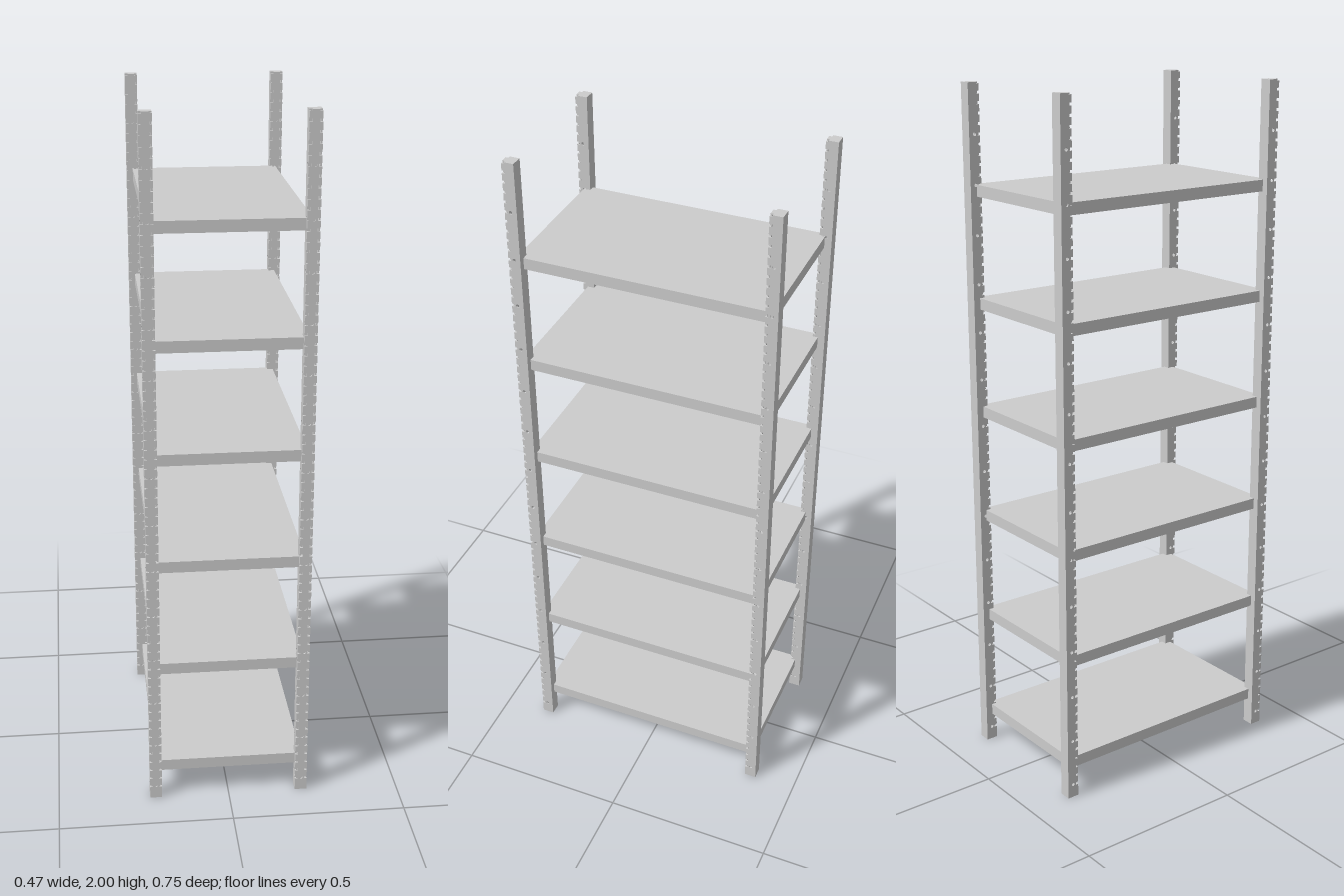
import * as THREE from 'three';

const W = 0.035, H = 2, T = 0.004;        // post width, height, wall thickness
const NOTCH = 0.008, SLOT = 0.008, PITCH = 0.028;
const material = new THREE.MeshStandardMaterial({ color: 0xcccccc, flatShading: true });

// Slot steps up one edge of a post wall, as [inset, y] pairs
function slottedEdge() {
  const pts = [[0, 0]];
  for (let k = 70; k >= 0; k--) {
    const y = H - k * PITCH;
    const top = Math.min(y + SLOT / 2, H);
    pts.push([0, y - SLOT / 2], [NOTCH, y - SLOT / 2], [NOTCH, top]);
    if (k > 0) pts.push([0, top]);
  }
  return pts;
}

// Flat post wall with round holes and a slotted right edge (and left edge if asked)
function wallGeometry(width, bothEdges) {
  const edge = slottedEdge();
  const right = edge.map(([d, y]) => new THREE.Vector2(width / 2 - d, y));
  const left = bothEdges
    ? edge.map(([d, y]) => new THREE.Vector2(d - width / 2, y)).reverse()
    : [new THREE.Vector2(-width / 2, H), new THREE.Vector2(-width / 2, 0)];
  const shape = new THREE.Shape([...right, ...left]);
  for (let y = 0.04; y < 1.9; y += 0.14) {
    const hole = new THREE.Path();
    hole.absarc(0, y, 0.005, 0, Math.PI * 2, true);
    shape.holes.push(hole);
  }
  return new THREE.ExtrudeGeometry(shape, { depth: T, bevelEnabled: false, curveSegments: 6 });
}

// Cap plate with its two front corners cut away
function capGeometry() {
  const h = W / 2, n = h - NOTCH;
  const shape = new THREE.Shape([[-h, h], [-h, -n], [-n, -n], [-n, -h], [n, -h], [n, -n], [h, -n], [h, h]]
    .map(([x, y]) => new THREE.Vector2(x, y)));
  const geometry = new THREE.ExtrudeGeometry(shape, { depth: SLOT / 2, bevelEnabled: false });
  return geometry.rotateX(-Math.PI / 2);
}

export function createModel() {
  const model = new THREE.Group();
  model.name = 'shelvingRack';
  const add = (parent, geometry, name, x, y, z) => {
    const mesh = new THREE.Mesh(geometry, material);
    mesh.name = name;
    mesh.position.set(x, y, z);
    parent.add(mesh);
    return mesh;
  };

  const frontWall = wallGeometry(W, true);
  const sideWall = wallGeometry(W, false).rotateY(-Math.PI / 2);
  const backWall = new THREE.BoxGeometry(W - 2 * T, H, T);
  const cap = capGeometry();

  // Four hollow slotted posts, all with the slotted face to the front
  for (const x of [-0.215, 0.215]) {
    for (const z of [-0.358, 0.357]) {
      const post = new THREE.Group();
      post.name = (z > 0 ? 'front' : 'back') + (x > 0 ? 'Left' : 'Right') + 'Post';
      post.position.set(x, 0, z);
      add(post, frontWall, 'slottedFrontWall', 0, 0, W / 2 - T);
      add(post, sideWall, 'slottedSideWall', W / 2, 0, 0);
      add(post, sideWall, 'slottedSideWall', -W / 2 + T, 0, 0);
      add(post, backWall, 'backWall', 0, H / 2, -W / 2 + T / 2);
      add(post, cap, 'topCap', 0, H - SLOT / 2, 0);
      add(post, cap, 'foot', 0, 0, 0);
      model.add(post);
    }
  }

  // Six solid shelves, evenly spaced
  const shelf = new THREE.BoxGeometry(0.43, 0.033, 0.715);
  for (let i = 0; i < 6; i++) add(model, shelf, 'shelf' + (i + 1), 0, 0.1 + i * 0.321, 0.002);

  return model;
}
